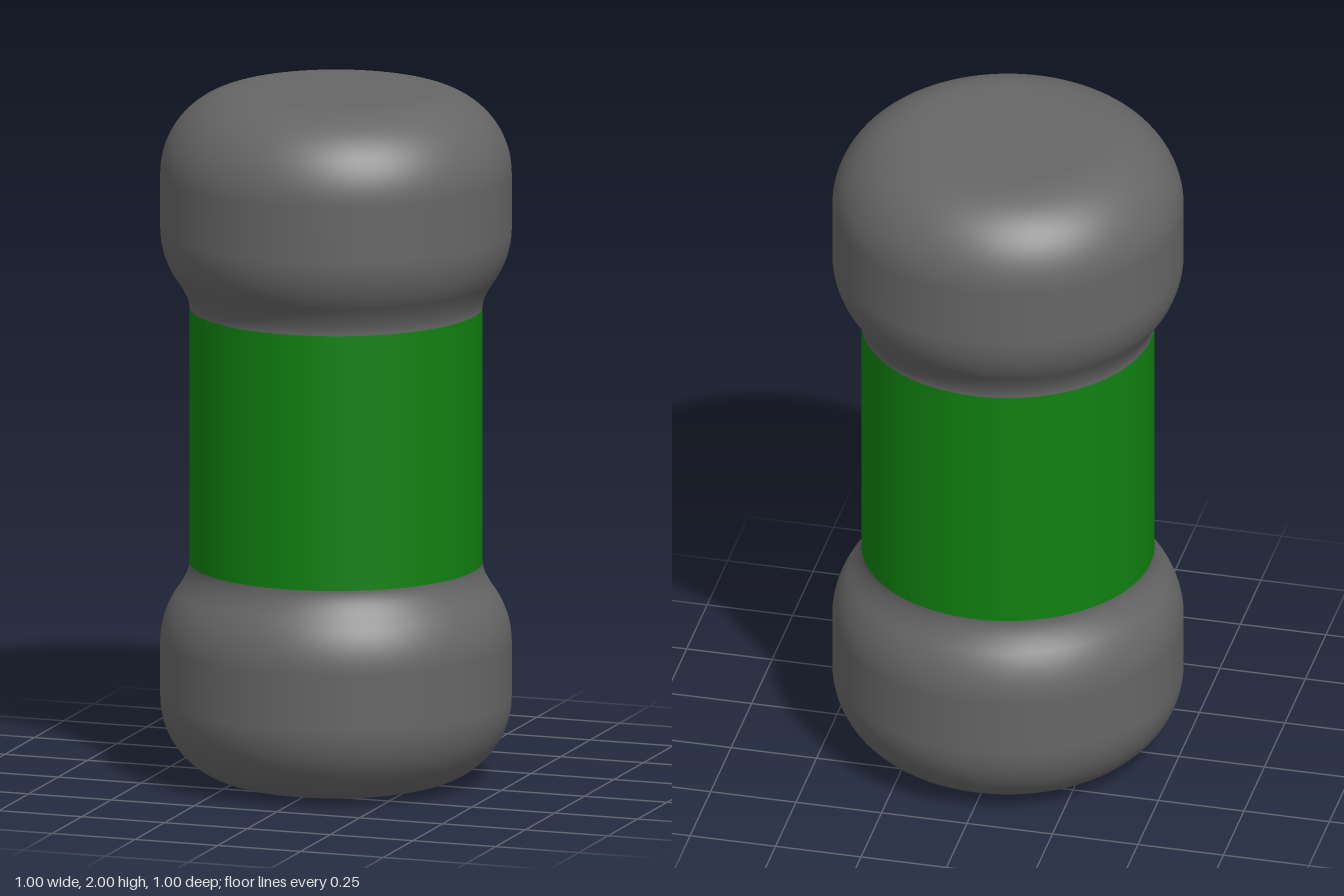
import * as THREE from 'three';

const SEGMENTS = 96;

// Half profile of the lower cap, from the axis up to the neck
function capProfile() {
  const path = new THREE.Path();
  path.moveTo(0, 0);
  path.lineTo(0.24, 0);
  path.lineTo(0.26, 0);
  path.absarc(0.26, 0.24, 0.24, -Math.PI / 2, 0, false); // rounded end
  path.lineTo(0.5, 0.4);
  path.absarc(0.25, 0.4, 0.25, 0, 0.62, false); // shoulder
  path.quadraticCurveTo(0.417, 0.597, 0.417, 0.63); // fillet into the neck
  return path.getPoints(14).filter((p, i, a) => i === 0 || p.distanceTo(a[i - 1]) > 1e-4);
}

export function createModel() {
  const model = new THREE.Group();
  const grey = new THREE.MeshStandardMaterial({ color: 0x666666 });
  grey.name = 'dark grey';
  const green = new THREE.MeshStandardMaterial({ color: 0x108010 });
  green.name = 'green';

  const add = (name, geometry, material) => {
    const mesh = new THREE.Mesh(geometry, material);
    mesh.name = name;
    model.add(mesh);
    return mesh;
  };

  // Matching end caps, the upper one mirrored about the middle
  const lower = capProfile();
  const upper = lower.map((p) => new THREE.Vector2(p.x, 2 - p.y)).reverse();
  add('bottomCap', new THREE.LatheGeometry(lower, SEGMENTS), grey);
  add('topCap', new THREE.LatheGeometry(upper, SEGMENTS), grey);

  // Coloured sleeve between the caps
  const sleeve = new THREE.CylinderGeometry(0.417, 0.417, 0.74, SEGMENTS, 1, true);
  add('middleSleeve', sleeve, green).position.y = 1;

  return model;
}
